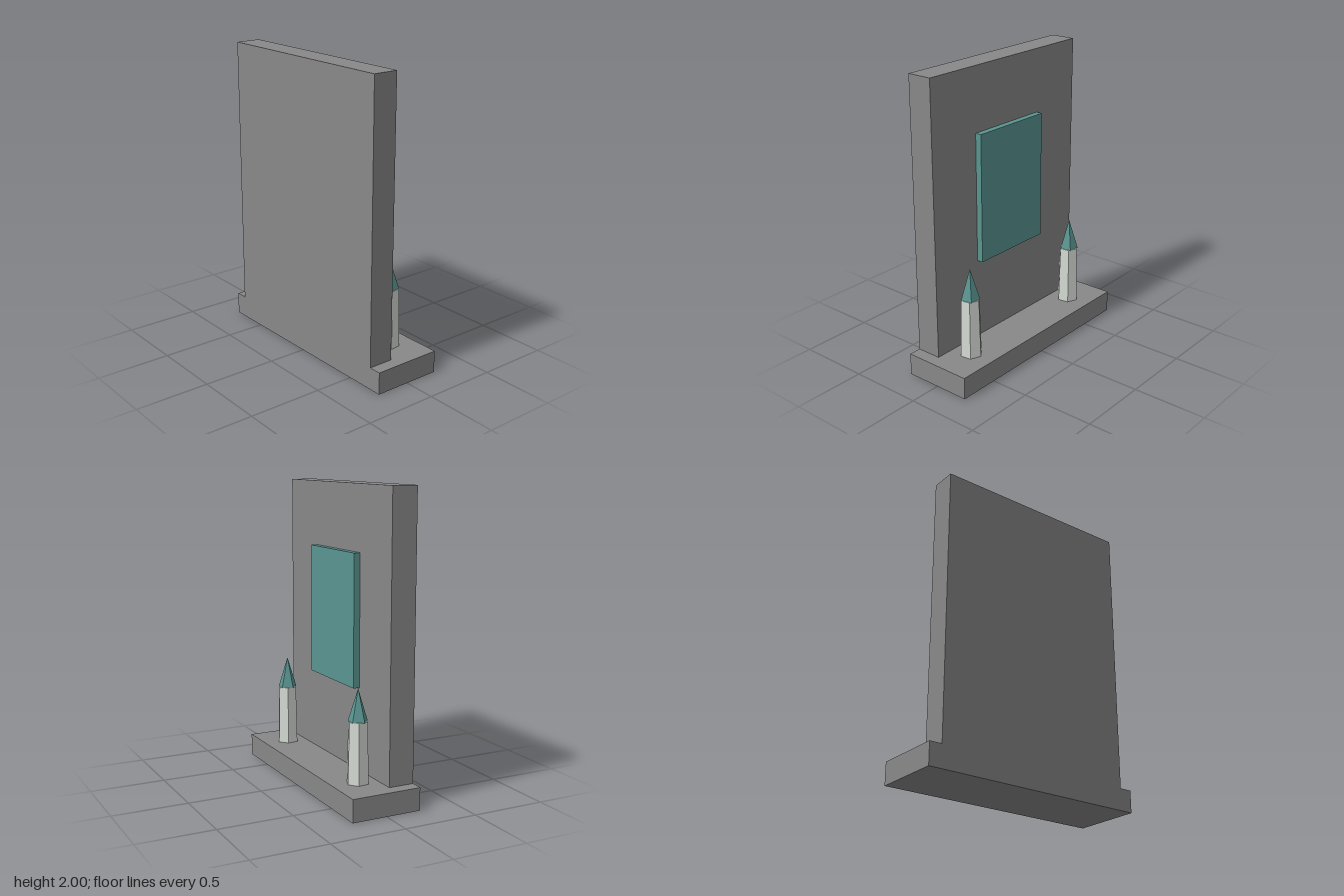
import * as THREE from 'three';

const material = (color) => new THREE.MeshStandardMaterial({ color, flatShading: true });

export function createModel() {
  const group = new THREE.Group();
  const stone = material(0x888888);
  const teal = material(0x5a9591);
  const wax = material(0xd5dbd5);

  const add = (name, geometry, mat, x, y, z, parent = group) => {
    const mesh = new THREE.Mesh(geometry, mat);
    mesh.name = name;
    mesh.position.set(x, y, z);
    parent.add(mesh);
    return mesh;
  };

  // Plinth, upright slab and the raised panel on its back
  add('base', new THREE.BoxGeometry(1.56, 0.15, 0.474), stone, 0, 0.075, 0);
  add('slab', new THREE.BoxGeometry(1.39, 1.85, 0.172), stone, 0, 1.075, 0.151);
  add('panel', new THREE.BoxGeometry(0.608, 0.87, 0.043), teal, 0, 1.135, 0.0435);

  // Six-sided candles with five-sided pointed flames
  const candleGeometry = new THREE.CylinderGeometry(0.066, 0.075, 0.4, 6);
  const flameGeometry = new THREE.ConeGeometry(0.065, 0.21, 5);
  for (const [side, x] of [['left', 0.521], ['right', -0.521]]) {
    const candle = new THREE.Group();
    candle.name = `${side}Candle`;
    candle.position.set(x, 0.15, -0.063);
    add('candleBody', candleGeometry, wax, 0, 0.2, 0, candle).rotation.y = 0.14;
    add('candleFlame', flameGeometry, teal, 0, 0.503, 0, candle).rotation.y = -0.1;
    group.add(candle);
  }
  return group;
}
